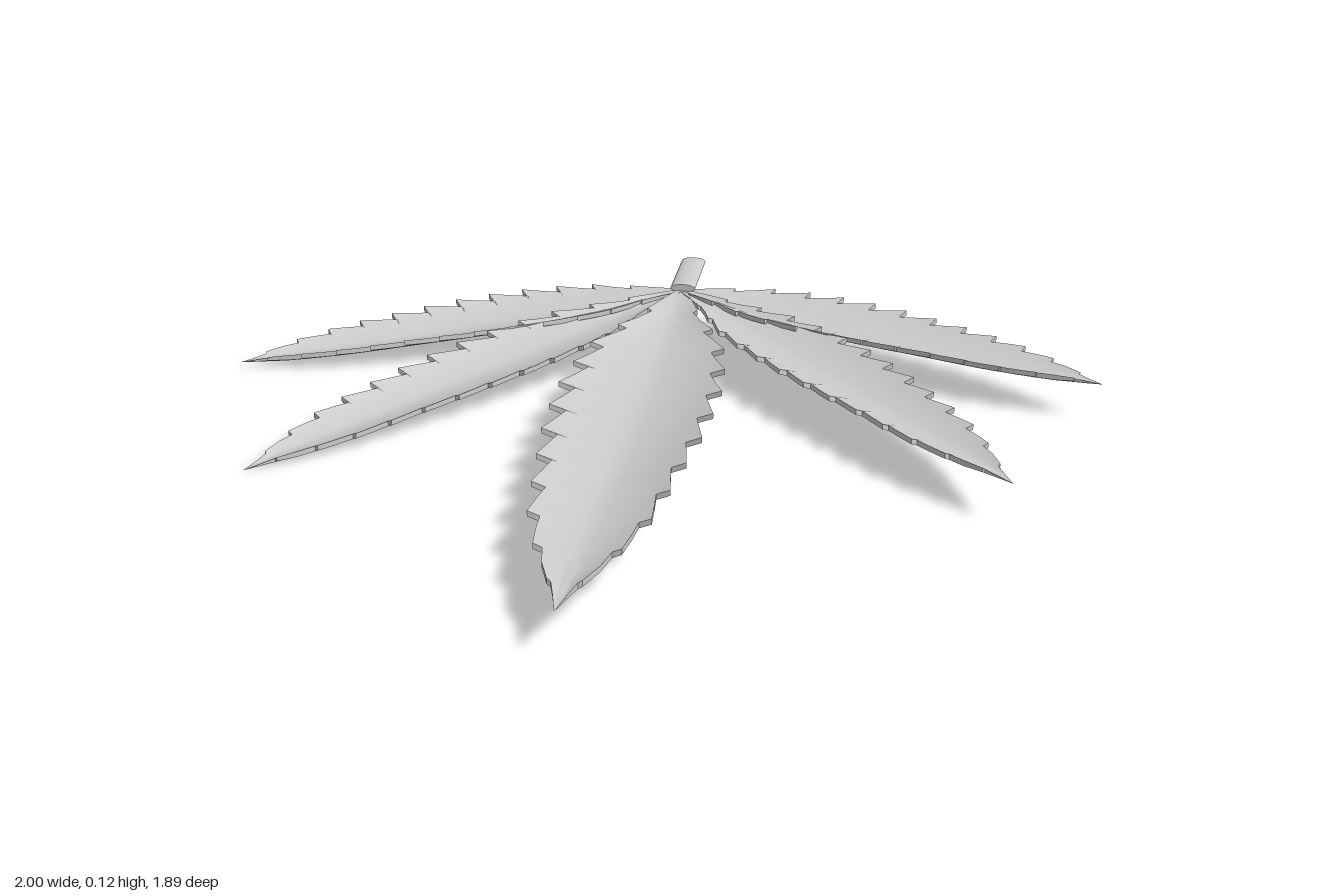
import * as THREE from 'three';
import { toCreasedNormals } from 'three/addons/utils/BufferGeometryUtils.js';

const BASE_Z = -0.74;
const THICK = 0.012;
const COLS = 12;

// Half-width envelope along a leaflet: [fraction of length, half width]
const ENVELOPE = [
  [0, 0.012], [0.06, 0.035], [0.13, 0.08], [0.23, 0.15], [0.32, 0.17], [0.41, 0.18], [0.5, 0.174],
  [0.57, 0.166], [0.65, 0.148], [0.73, 0.133], [0.79, 0.118], [0.85, 0.09], [0.9, 0.062], [0.94, 0.032], [1, 0.001],
];

function halfWidth(f) {
  for (let i = 1; i < ENVELOPE.length; i++) {
    const [f0, w0] = ENVELOPE[i - 1], [f1, w1] = ENVELOPE[i];
    if (f <= f1) return w0 + (w1 - w0) * (f - f0) / (f1 - f0);
  }
  return 0.001;
}

// Rows along the leaflet; each tooth widens towards the tip, then steps back in
function toothRows(teeth) {
  const rows = [[0, 0.9]];
  const start = 0.1, end = 0.94;
  for (let k = 0; k <= teeth; k++) {
    const f = start + (end - start) * k / teeth;
    rows.push([f, 1], [f + 0.003, 0.8]);
    if (k < teeth) rows.push([f + (end - start) / teeth * 0.5, 0.89]);
  }
  rows.push([0.97, 0.75], [1, 1]);
  return rows;
}

// Thin, trough-shaped serrated blade swept along local +z
function leafletGeometry({ length, width, teeth, drop, bend, trough, fullness }) {
  const pos = [], index = [];
  const rows = toothRows(teeth);
  const ring = 2 * (COLS + 1);
  for (const [f, scale] of rows) {
    const env = halfWidth(Math.pow(f, fullness)) * width;
    const bell = Math.sin(Math.PI * Math.min(1, f)) ** 0.8;
    for (let j = 0; j < ring; j++) {
      const top = j <= COLS;
      const u = ((top ? j : ring - 1 - j) / COLS * 2 - 1) * scale;
      const a = Math.abs(u);
      const sweep = 0.022 * a ** 3 * bell;
      const t = THICK * Math.min(1, env / 0.03);
      const cup = trough * bell * (0.35 * a + 0.65 * a * a - 0.65);
      pos.push(
        u * env + bend * Math.sin(Math.PI * f),
        drop * f + cup + (top ? t / 2 : -t / 2),
        f * length + sweep,
      );
    }
  }
  for (let r = 0; r < rows.length - 1; r++) {
    for (let j = 0; j < ring; j++) {
      const k = (j + 1) % ring;
      const a = r * ring + j, b = a + ring, c = r * ring + k, d = c + ring;
      index.push(a, b, d, a, d, c);
    }
  }
  const geo = new THREE.BufferGeometry();
  geo.setAttribute('position', new THREE.Float32BufferAttribute(pos, 3));
  geo.setIndex(index);
  return toCreasedNormals(geo, 0.6);
}

export function createModel() {
  const group = new THREE.Group();
  group.name = 'leaf';
  const material = new THREE.MeshStandardMaterial({ color: 0xcccccc, side: THREE.DoubleSide });

  // Five leaflets fanning out from the stalk; the right-hand pair droops
  const leaflets = [
    { name: 'middleLeaflet', tip: [0, 0.94], y: 0.1, drop: -0.004, width: 1, teeth: 11, bend: 0, trough: 0.05, fullness: 1 },
    { name: 'leftInnerLeaflet', tip: [0.79, 0.285], y: 0.1, drop: -0.008, width: 0.7, teeth: 12, bend: 0.024, trough: 0.035, fullness: 1 },
    { name: 'leftOuterLeaflet', tip: [1, -0.285], y: 0.1, drop: -0.012, width: 0.7, teeth: 11, bend: 0.02, trough: 0.035, fullness: 0.88 },
    { name: 'rightInnerLeaflet', tip: [-0.795, 0.275], y: 0.1, drop: -0.093, width: 0.7, teeth: 12, bend: -0.024, trough: 0.035, fullness: 1 },
    { name: 'rightOuterLeaflet', tip: [-1, -0.3], y: 0.1, drop: -0.082, width: 0.7, teeth: 11, bend: -0.02, trough: 0.035, fullness: 0.88 },
  ];
  for (const spec of leaflets) {
    const dx = spec.tip[0], dz = spec.tip[1] - BASE_Z;
    const mesh = new THREE.Mesh(leafletGeometry({ ...spec, length: Math.hypot(dx, dz) }), material);
    mesh.name = spec.name;
    mesh.position.set(0, spec.y, BASE_Z);
    mesh.rotation.y = Math.atan2(dx, dz);
    group.add(mesh);
  }

  // Flattened round stalk
  const stalkGeo = new THREE.CylinderGeometry(0.031, 0.031, 0.22, 16);
  stalkGeo.rotateX(Math.PI / 2);
  stalkGeo.scale(1, 0.33, 1);
  const stalk = new THREE.Mesh(stalkGeo, material);
  stalk.name = 'stalk';
  stalk.position.set(0.003, 0.109, -0.84);
  group.add(stalk);

  return group;
}
